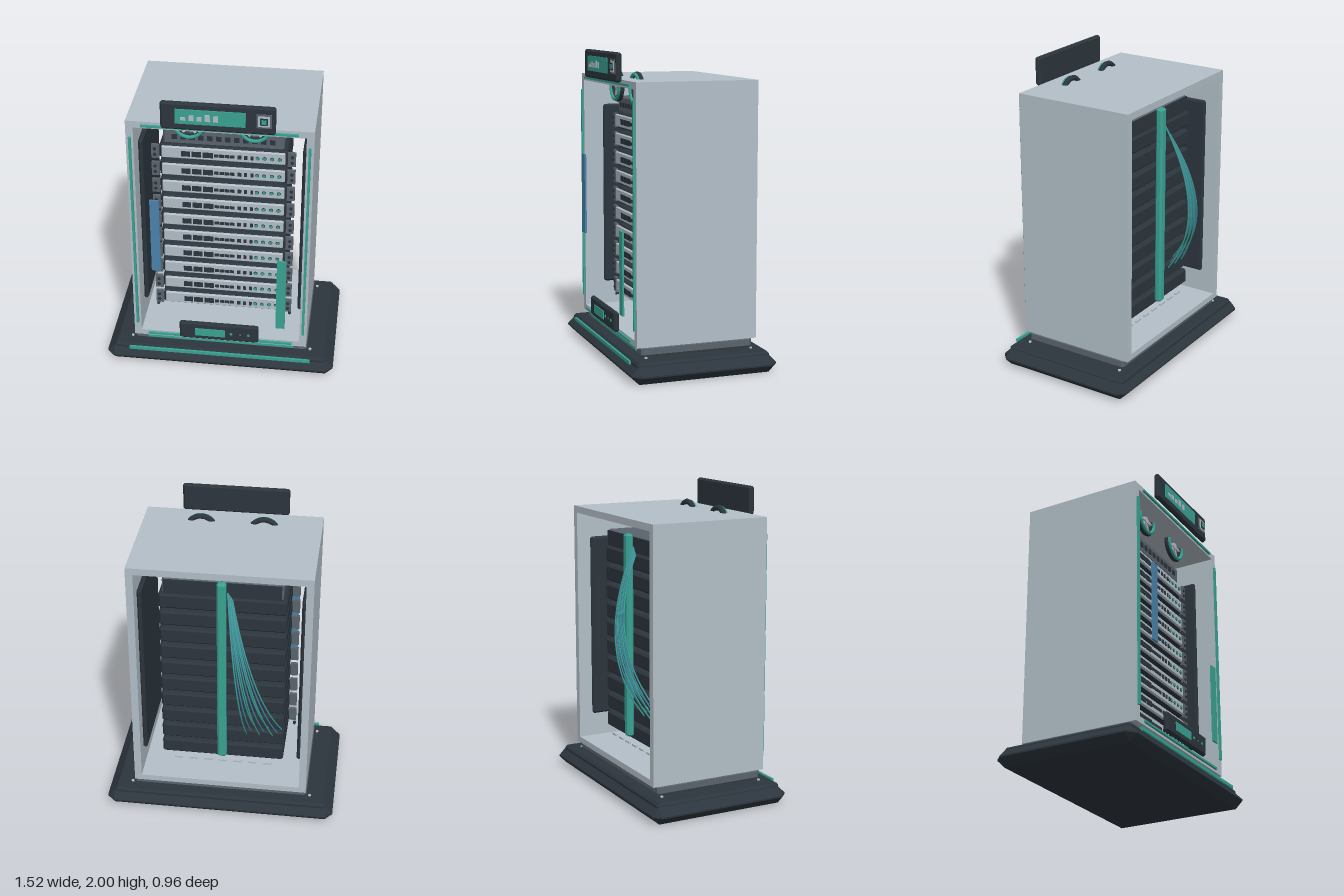
import * as THREE from 'three';
import { ConvexGeometry } from 'three/addons/geometries/ConvexGeometry.js';

const mat = (name, color) => Object.assign(new THREE.MeshStandardMaterial({ color }), { name });

export function createModel() {
  const light = mat('lightGrey', 0xb3bfc8);
  const mid = mat('midGrey', 0x5a636d);
  const dark = mat('darkSlate', 0x2c353d);
  const teal = mat('teal', 0x3aa394);
  const blue = mat('blue', 0x4a83ac);

  const root = new THREE.Group();
  root.name = 'serverCabinet';

  const add = (parent, name, geo, material, x = 0, y = 0, z = 0) => {
    const m = new THREE.Mesh(geo, material);
    m.name = name;
    m.position.set(x, y, z);
    parent.add(m);
    return m;
  };
  const group = (name, parent = root) => {
    const g = new THREE.Group();
    g.name = name;
    parent.add(g);
    return g;
  };
  const box = (w, h, d) => new THREE.BoxGeometry(w, h, d);
  // Box with every edge cut at 45 degrees
  const chamferBox = (w, h, d, c) => {
    const pts = [];
    for (const sx of [-1, 1]) for (const sy of [-1, 1]) for (const sz of [-1, 1]) {
      const X = w / 2, Y = h / 2, Z = d / 2;
      pts.push(new THREE.Vector3(sx * X, sy * (Y - c), sz * (Z - c)));
      pts.push(new THREE.Vector3(sx * (X - c), sy * Y, sz * (Z - c)));
      pts.push(new THREE.Vector3(sx * (X - c), sy * (Y - c), sz * Z));
    }
    return new ConvexGeometry(pts);
  };
  // Short disc facing forward
  const disc = (r, d, sides = 12) => new THREE.CylinderGeometry(r, r, d, sides).rotateX(Math.PI / 2);

  // Base and plinth
  const base = group('base');
  add(base, 'baseSlab', chamferBox(1.52, 0.11, 0.96, 0.05), dark, 0, 0.055);
  add(base, 'baseLip', chamferBox(1.42, 0.05, 0.88, 0.015), dark, 0, 0.105);
  add(base, 'baseLight', box(1.21, 0.022, 0.014), teal, 0, 0.115, 0.456);
  add(base, 'plinth', chamferBox(1.16, 0.07, 0.74, 0.015), mid, 0, 0.165);
  add(base, 'plinthLight', box(0.98, 0.022, 0.012), teal, 0, 0.167, 0.375);
  for (const x of [-0.6, 0.6]) for (const z of [-0.355, 0.35])
    add(base, 'baseBolt', new THREE.CylinderGeometry(0.01, 0.01, 0.01, 8), light, x, 0.133, z);

  // Cabinet shell, open at front and back
  const cabinet = group('cabinet');
  const rect = (P, hx, y0, y1) => {
    const p = new P();
    p.moveTo(-hx, y0); p.lineTo(hx, y0); p.lineTo(hx, y1); p.lineTo(-hx, y1); p.closePath();
    return p;
  };
  const shell = rect(THREE.Shape, 0.575, 0.19, 1.83);
  shell.holes.push(rect(THREE.Path, 0.528, 0.23, 1.785));
  add(cabinet, 'shell', new THREE.ExtrudeGeometry(shell, { depth: 0.8, bevelEnabled: false }), light, 0, 0, -0.4);

  // Front lights and inner wall panels
  for (const s of [-1, 1]) {
    add(cabinet, 'sideLight', box(0.016, 1.425, 0.014), teal, s * 0.55, 1.008, 0.407);
    add(cabinet, 'wallPanel', chamferBox(0.03, 1.23, 0.58, 0.012), dark, s * 0.515, 1.005, -0.02);
    add(cabinet, 'frameScrew', disc(0.01, 0.02, 8), dark, s * 0.445, 0.312, 0.2);
  }
  add(cabinet, 'topLight', box(0.96, 0.014, 0.014), teal, 0, 1.805, 0.407);
  add(cabinet, 'bottomLight', box(0.96, 0.014, 0.014), teal, 0, 0.213, 0.407);
  for (let i = -3; i <= 3; i++)
    add(cabinet, 'floorVent', box(0.055, 0.012, 0.014), light, i * 0.1, 0.285, -0.24);

  // Rack units
  const ports = [
    [-0.235, 0.056, 0.036], [-0.167, 0.06, 0.036], [-0.095, 0.064, 0.036],
    [-0.042, 0.028, 0.02], [-0.009, 0.028, 0.02], [0.024, 0.028, 0.02], [0.058, 0.03, 0.02],
    [0.104, 0.024, 0.026], [0.143, 0.02, 0.026], [0.183, 0.018, 0.026],
  ];
  const bodyGeo = chamferBox(0.81, 0.104, 0.46, 0.012);
  const faceGeo = chamferBox(0.78, 0.082, 0.02, 0.006);
  const earGeo = box(0.05, 0.096, 0.02), earHole = disc(0.011, 0.008, 8), led = disc(0.01, 0.008, 10);
  for (let i = 0; i < 10; i++) {
    const unit = group('server');
    unit.position.y = 0.381 + i * 0.1263;
    add(unit, 'serverBody', bodyGeo, dark, 0, 0, -0.02);
    add(unit, 'serverFace', faceGeo, light, 0, 0.002, 0.214);
    for (const [x, w, h] of ports) add(unit, 'port', box(w, h, 0.008), dark, x, 0, 0.225);
    for (const x of [0.215, 0.26, 0.308, 0.355]) {
      add(unit, 'ledRim', disc(0.013, 0.006, 10), dark, x, 0, 0.224);
      add(unit, 'led', led, teal, x, 0, 0.227);
    }
    for (const s of [-1, 1]) {
      add(unit, 'mountEar', earGeo, mid, s * 0.43, 0, 0.21);
      add(unit, 'earHole', earHole, dark, s * 0.433, 0.02, 0.221);
      add(unit, 'earHole', earHole, dark, s * 0.433, -0.02, 0.221);
    }
  }

  // Patch panel above the servers
  const patch = group('patchPanel');
  add(patch, 'patchBody', chamferBox(0.76, 0.115, 0.45, 0.012), mid, 0, 1.628, -0.02);
  add(patch, 'patchBack', box(0.74, 0.1, 0.01), dark, 0, 1.628, -0.244);
  for (let i = 0; i < 12; i++)
    add(patch, 'patchPort', box(0.034, 0.032, 0.008), dark, -0.308 + i * 0.056, 1.628, 0.207);

  // Cooling fans set through the roof
  for (const s of [-1, 1]) {
    const fan = group('fan');
    fan.position.set(s * 0.203, 1.766, 0.265);
    add(fan, 'fanRim', new THREE.TorusGeometry(0.092, 0.018, 8, 28), dark);
    add(fan, 'fanRing', new THREE.TorusGeometry(0.092, 0.012, 8, 28), teal, 0, 0, 0.017);
    add(fan, 'fanHub', disc(0.022, 0.03, 14), light);
    for (let i = 0; i < 6; i++) {
      const blade = add(fan, 'fanSpoke', box(0.09, 0.016, 0.014).translate(0.045, 0, 0), light);
      blade.rotation.z = i * Math.PI / 3;
    }
  }

  // Upper display
  const top = group('topDisplay');
  add(top, 'displayCase', chamferBox(0.695, 0.184, 0.036, 0.012), dark, -0.003, 1.908, 0.43);
  add(top, 'displayScreen', box(0.425, 0.098, 0.008), teal, -0.047, 1.912, 0.45);
  [0.022, 0.036, 0.03, 0.046, 0.04].forEach((h, i) =>
    add(top, 'chartBar', box(0.03, h, 0.004), light, -0.21 + i * 0.049, 1.888 + h / 2, 0.455));
  [[0.092, mid], [0.07, light], [0.046, dark], [0.03, teal]].forEach(([w, m], i) =>
    add(top, 'displayButton', box(w, w, 0.006), m, 0.275, 1.912, 0.45 + i * 0.004));

  // Lower control display
  const low = group('controlDisplay');
  add(low, 'controlCase', chamferBox(0.525, 0.132, 0.036, 0.012), dark, -0.002, 0.286, 0.428);
  add(low, 'controlScreen', box(0.2, 0.056, 0.008), teal, -0.06, 0.284, 0.448);
  for (const [x, r, m] of [[0.08, 0.009, teal], [0.14, 0.006, mid], [0.195, 0.009, teal]])
    add(low, 'controlLed', disc(r, 0.008, 10), m, x, 0.285, 0.448);

  // Floating status bars
  add(root, 'blueBar', box(0.06, 0.535, 0.012), blue, -0.405, 1.028, 0.44);
  add(root, 'tealBar', box(0.06, 0.535, 0.012), teal, 0.402, 0.632, 0.44);

  // Rear cable spine and drooping cables
  const cables = group('cabling');
  add(cables, 'cableSpine', chamferBox(0.06, 1.34, 0.05, 0.012), teal, 0, 1.03, -0.28);
  for (let i = 0; i < 9; i++) {
    const t = i / 8;
    const curve = new THREE.QuadraticBezierCurve3(
      new THREE.Vector3(-0.035 - t * 0.03, 1.62 - t * 0.05, -0.26),
      new THREE.Vector3(-0.12 - t * 0.1, 0.98 + t * 0.06, -0.6 + t * 0.03),
      new THREE.Vector3(-0.16 - t * 0.23, 0.53 + (i % 3) * 0.03, -0.25));
    add(cables, 'cable', new THREE.TubeGeometry(curve, 28, 0.005, 6), i % 3 === 1 ? blue : teal);
  }
  return root;
}
